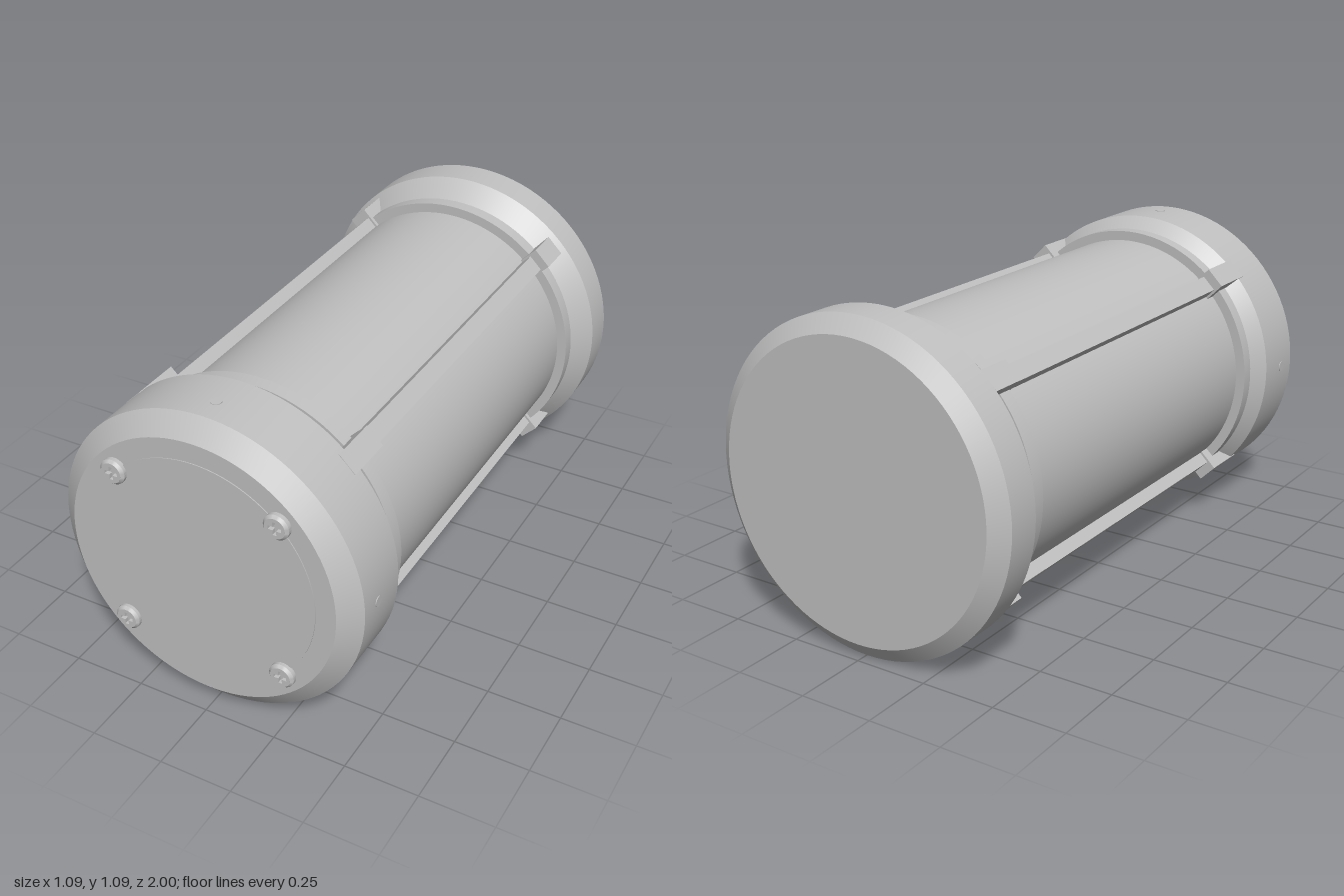
import * as THREE from 'three';
import { toCreasedNormals } from 'three/addons/utils/BufferGeometryUtils.js';

const AXIS_Y = 0.543;

export function createModel() {
  const model = new THREE.Group();
  model.name = 'canister';
  const grey = new THREE.MeshStandardMaterial({ color: 0xc0c0c0 });
  grey.name = 'plain grey';

  // Everything is built around the z axis, then lifted to stand on the ground
  const assembly = new THREE.Group();
  assembly.name = 'assembly';
  assembly.position.y = AXIS_Y;
  model.add(assembly);

  const add = (name, geometry, parent = assembly) => {
    const mesh = new THREE.Mesh(geometry, grey);
    mesh.name = name;
    parent.add(mesh);
    return mesh;
  };

  // Turned part from [radius, z] pairs, listed from back to front
  const turned = (profile, segments = 96) => {
    const g = new THREE.LatheGeometry(profile.map(([r, z]) => new THREE.Vector2(r, z)), segments);
    g.rotateX(Math.PI / 2);
    return toCreasedNormals(g, 0.35);
  };

  add('body', turned([[0, -0.78], [0.453, -0.78], [0.453, 0.68], [0, 0.68]]));
  add('frontCap', turned([[0, 0.66], [0.475, 0.66], [0.527, 0.713], [0.527, 0.922], [0.462, 0.976], [0, 0.976]]));
  add('rearCap', turned([[0, -1], [0.487, -1], [0.543, -0.957], [0.543, -0.838], [0.472, -0.76], [0, -0.76]]));
  add('frontRing', turned([[0.44, 0.615], [0.487, 0.615], [0.487, 0.662], [0.44, 0.662]]));
  add('rearRing', turned([[0.44, -0.763], [0.487, -0.763], [0.487, -0.714], [0.44, -0.714]]));
  add('frontPanel', turned([[0.395, 0.974], [0.395, 0.979], [0, 0.979]]));

  // Radial box: bottom and top are distances from the axis
  const radialBox = (width, bottom, top, back, front) => {
    const g = new THREE.BoxGeometry(width, top - bottom, front - back);
    g.translate(0, (top + bottom) / 2, (front + back) / 2);
    return g;
  };

  // Four rails with a clamp at each end
  for (let i = 0; i < 4; i++) {
    const rail = new THREE.Group();
    rail.name = 'rail' + (i + 1);
    rail.rotation.z = Math.PI / 4 + i * Math.PI / 2;
    assembly.add(rail);
    add('rod', radialBox(0.06, 0.43, 0.495, -0.74, 0.64), rail);
    add('frontClamp', radialBox(0.076, 0.43, 0.528, 0.575, 0.745), rail);
    add('rearClamp', radialBox(0.076, 0.43, 0.528, -0.82, -0.7), rail);
  }

  // Small plugs around the front cap
  for (let i = 0; i < 4; i++) {
    const plug = new THREE.Group();
    plug.name = 'plugMount' + (i + 1);
    plug.rotation.z = i * Math.PI / 2;
    assembly.add(plug);
    const g = new THREE.CylinderGeometry(0.018, 0.018, 0.03, 24);
    g.translate(0, 0.514, 0.84);
    add('plug', g, plug);
  }

  // Screw head: bevelled rim, recessed floor and a face cut by a cross slot
  const rim = turned([[0.043, 0.974], [0.043, 0.99], [0.034, 0.999]], 32);
  const face = new THREE.Shape().absarc(0, 0, 0.0342, 0, Math.PI * 2);
  const a = 0.022, b = 0.006;
  face.holes.push(new THREE.Path([
    [a, b], [a, -b], [b, -b], [b, -a], [-b, -a], [-b, -b],
    [-a, -b], [-a, b], [-b, b], [-b, a], [b, a], [b, b],
  ].map(([x, y]) => new THREE.Vector2(x, y))));
  const slotted = new THREE.ExtrudeGeometry(face, { depth: 0.014, bevelEnabled: false, curveSegments: 32 });
  slotted.translate(0, 0, 0.985);
  const floor = new THREE.CircleGeometry(0.034, 32);
  floor.translate(0, 0, 0.985);

  for (const x of [-0.28, 0.28]) {
    for (const y of [-0.28, 0.28]) {
      const screw = new THREE.Group();
      screw.name = (y > 0 ? 'upper' : 'lower') + (x > 0 ? 'Left' : 'Right') + 'Screw';
      screw.position.set(x, y, 0);
      assembly.add(screw);
      add('screwRim', rim, screw);
      add('screwFace', slotted, screw);
      add('screwSlotFloor', floor, screw);
    }
  }

  return model;
}
